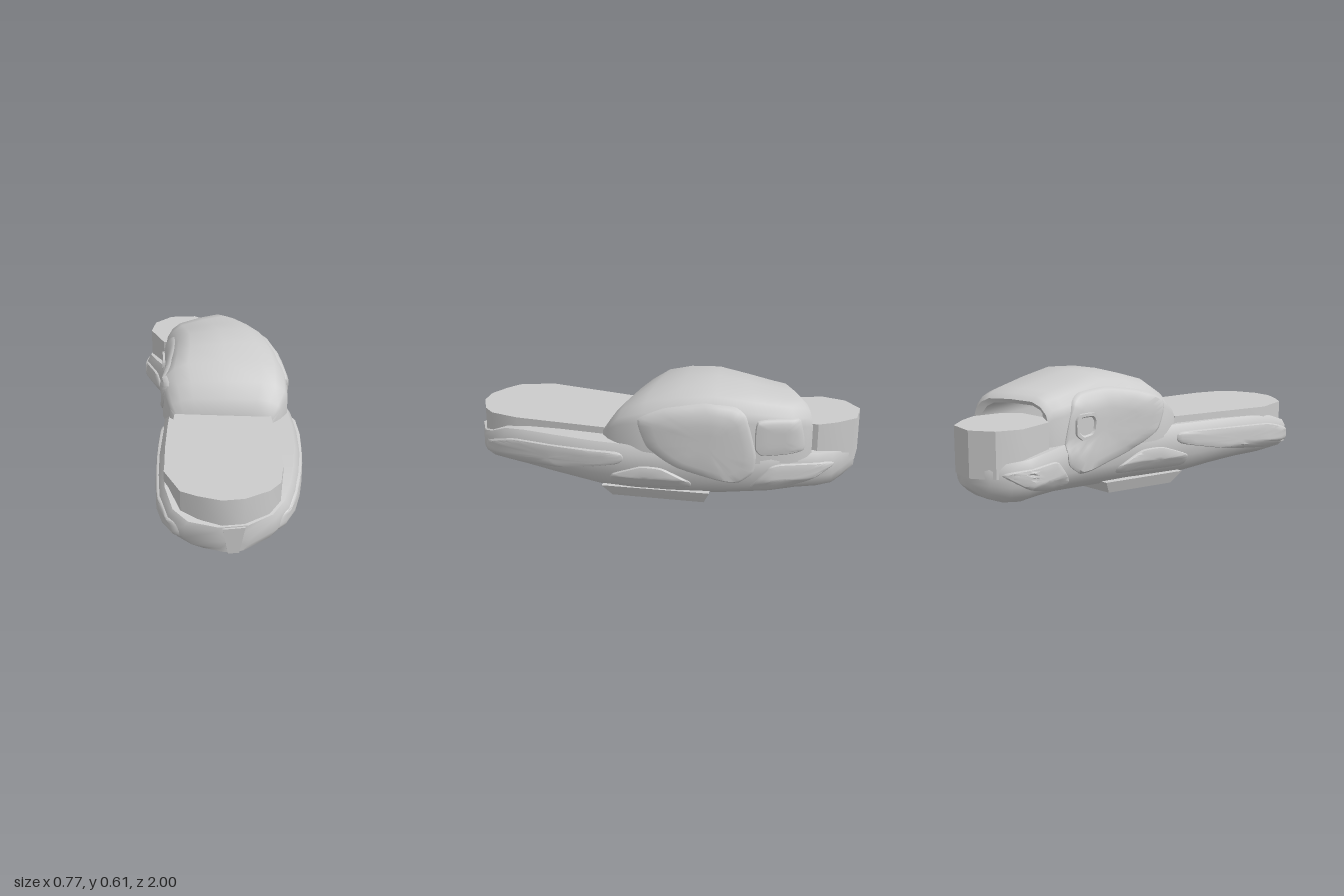
import * as THREE from 'three';
import { toCreasedNormals } from 'three/addons/utils/BufferGeometryUtils.js';

const grey = new THREE.MeshStandardMaterial({ color: 0xcccccc });

// Skin between rings of points [x, y, z], with a fan cap at both ends
function loft(rings, closed, crease) {
  const n = rings[0].length, pos = rings.flat(2), idx = [];
  const steps = closed ? n : n - 1;
  for (let i = 0; i < rings.length - 1; i++) {
    for (let j = 0; j < steps; j++) {
      const k = (j + 1) % n, a = i * n + j, b = i * n + k;
      idx.push(a, b, a + n, b, b + n, a + n);
    }
  }
  [0, rings.length - 1].forEach((r) => {
    const c = pos.length / 3;
    for (let d = 0; d < 3; d++) pos.push(rings[r].reduce((s, p) => s + p[d], 0) / n);
    for (let j = 0; j < n; j++) {
      const a = r * n + j, b = r * n + (j + 1) % n;
      idx.push(c, r ? a : b, r ? b : a);
    }
  });
  const geo = new THREE.BufferGeometry();
  geo.setAttribute('position', new THREE.Float32BufferAttribute(pos, 3));
  geo.setIndex(idx);
  return toCreasedNormals(geo, crease);
}

// Cross-section spanned between a left (xl, zl) and a right (xr, zr) point
function section([xl, zl, xr, zr, y0, y1], profile) {
  return profile.map(([u, v]) => {
    const t = (u + 1) / 2;
    return [xl + (xr - xl) * t, y0 + (y1 - y0) * v, zl + (zr - zl) * t];
  });
}

const mirrored = (half) => [...half, ...half.slice(0, -1).reverse().map(([u, v]) => [-u, v])];

// Upright block from a plan outline, with a separate outline for the top
const block = (low, y0, high, y1) =>
  loft([low.map(([x, z]) => [x, y0, z]), high.map(([x, z]) => [x, y1, z])], true, 0.6);

export function createModel() {
  const model = new THREE.Group();
  const add = (name, geo) => {
    const mesh = new THREE.Mesh(geo, grey);
    mesh.name = name;
    model.add(mesh);
    return mesh;
  };

  // Curved lower hull, rear to front
  const hullProfile = mirrored([[-0.92, 1], [-1, 0.85], [-1, 0.45], [-0.85, 0.2], [-0.6, 0.04], [0, 0]]);
  const hull = add('hull', loft([
    [-0.14, -0.99, 0.0, -0.985, 0.15, 0.26],
    [-0.22, -0.94, 0.06, -0.93, 0.1, 0.26],
    [-0.28, -0.86, 0.12, -0.89, 0.07, 0.27],
    [-0.305, -0.77, 0.17, -0.82, 0.06, 0.28],
    [-0.28, -0.66, 0.215, -0.72, 0.06, 0.29],
    [-0.235, -0.52, 0.265, -0.6, 0.05, 0.3],
    [-0.225, -0.3, 0.32, -0.35, 0.035, 0.31],
    [-0.245, -0.1, 0.355, -0.1, 0.03, 0.32],
    [-0.28, 0.05, 0.37, 0.08, 0.03, 0.32],
    [-0.31, 0.22, 0.36, 0.28, 0.03, 0.32],
    [-0.34, 0.42, 0.325, 0.5, 0.055, 0.32],
    [-0.36, 0.6, 0.285, 0.66, 0.07, 0.315],
    [-0.37, 0.75, 0.245, 0.78, 0.075, 0.3],
    [-0.345, 0.87, 0.2, 0.87, 0.08, 0.26],
    [-0.28, 0.94, 0.13, 0.935, 0.085, 0.235],
    [-0.14, 0.99, 0.0, 0.99, 0.09, 0.225],
  ].map((s) => section(s, hullProfile)), true, 0.8));

  // Cabin shell: starts at the inner wall, runs out to the rear frame, then forward over the roof
  const cabinProfile = mirrored([[1, 0], [1, 0.62], [0.95, 0.76], [0.8, 0.9], [0.58, 0.98], [0, 1]]);
  const cabin = add('cabin', loft([
    [-0.16, -0.3, 0.22, -0.35, 0.25, 0.51],
    [-0.175, -0.5, 0.16, -0.64, 0.25, 0.49],
    [-0.18, -0.6, 0.135, -0.765, 0.25, 0.49],
    [-0.2, -0.61, 0.165, -0.785, 0.25, 0.51],
    [-0.21, -0.58, 0.185, -0.765, 0.25, 0.535],
    [-0.215, -0.52, 0.23, -0.7, 0.25, 0.548],
    [-0.22, -0.4, 0.285, -0.52, 0.25, 0.58],
    [-0.225, -0.27, 0.325, -0.33, 0.25, 0.61],
    [-0.25, -0.13, 0.35, -0.15, 0.25, 0.598],
    [-0.285, -0.02, 0.355, 0.02, 0.26, 0.56],
    [-0.275, 0.06, 0.335, 0.15, 0.27, 0.5],
    [-0.26, 0.12, 0.29, 0.21, 0.28, 0.43],
    [-0.24, 0.15, 0.24, 0.25, 0.3, 0.36],
  ].map((s) => section(s, cabinProfile)), false, 0.8));

  // Flat decks in front of and behind the cabin
  const front = [[-0.345, 0.7], [-0.29, 0.88], [-0.22, 0.93], [-0.12, 0.98], [-0.02, 0.98],
    [0.1, 0.93], [0.16, 0.87], [0.2, 0.72], [0.235, 0.24], [-0.24, 0.15]];
  add('frontDeck', block(front, 0.2, front, 0.355));
  const rear = [[-0.22, -0.62], [-0.1, -0.57], [0.05, -0.59], [0.11, -0.66], [0.13, -0.81],
    [0.08, -0.9], [0, -0.99], [-0.14, -1], [-0.24, -0.92], [-0.275, -0.8]];
  add('rearDeck', block(rear, 0.2, rear, 0.42));

  // Nose spout and foot pad
  add('nose', block([[-0.095, 0.99], [-0.045, 0.99], [-0.03, 0.9], [-0.11, 0.9]], 0.085,
    [[-0.12, 1], [-0.02, 1], [-0.02, 0.9], [-0.12, 0.9]], 0.22));
  add('footPad', block([[-0.21, 0.15], [0.26, 0.2], [0.25, -0.27], [-0.16, -0.22]], 0,
    [[-0.24, 0.2], [0.29, 0.25], [0.27, -0.3], [-0.18, -0.25]], 0.06));

  // Raised side panels: outline [z, y] projected sideways onto the body
  const body = [hull, cabin];
  const ray = new THREE.Raycaster();
  const domed = [[1, -0.012], [0.98, 0.005], [0.93, 0.012], [0.75, 0.015], [0.5, 0.016], [0.25, 0.016], [0.04, 0.016]];
  const rimmed = [[1, -0.01], [0.95, 0.012], [0.75, 0.012], [0.65, 0.002], [0.1, 0.002]];
  function panel(name, side, outline, levels = domed) {
    const curve = new THREE.CatmullRomCurve3(
      outline.map(([z, y]) => new THREE.Vector3(0, y, z)), true, 'catmullrom', 0.25);
    const pts = curve.getPoints(48).slice(0, -1);
    if (THREE.ShapeUtils.area(pts.map((p) => new THREE.Vector2(-side * p.z, p.y))) < 0) pts.reverse();
    const mid = pts.reduce((s, p) => s.add(p), new THREE.Vector3()).divideScalar(pts.length);
    let x = side * 0.2;
    const rings = levels.map(([scale, lift]) => pts.map((p) => {
      const q = mid.clone().lerp(p, scale);
      ray.set(new THREE.Vector3(side * 2, q.y, q.z), new THREE.Vector3(-side, 0, 0));
      const hit = ray.intersectObjects(body, false)[0];
      if (hit && hit.point.x * side > 0) x = hit.point.x;
      return [x + side * lift, q.y, q.z];
    }));
    return add(name, loft(rings, true, 0.7));
  }

  const large = [[0.05, 0.46], [-0.08, 0.52], [-0.27, 0.55], [-0.42, 0.535], [-0.48, 0.49], [-0.53, 0.3],
    [-0.52, 0.2], [-0.45, 0.145], [-0.38, 0.15], [-0.15, 0.22], [0, 0.32]];
  const long = [[0.92, 0.14], [0.9, 0.21], [0.7, 0.27], [0.15, 0.285], [0.11, 0.25], [0.15, 0.22], [0.45, 0.16], [0.75, 0.125]];
  const low = [[0.19, 0.13], [0.17, 0.17], [0.03, 0.22], [-0.08, 0.215], [-0.21, 0.15], [-0.2, 0.105], [0.16, 0.1]];
  const back = [[-0.5, 0.12], [-0.59, 0.23], [-0.65, 0.245], [-0.86, 0.235], [-0.9, 0.215], [-0.78, 0.14], [-0.6, 0.09], [-0.52, 0.09]];
  const small = [[-0.53, 0.47], [-0.71, 0.475], [-0.735, 0.45], [-0.75, 0.31], [-0.56, 0.29], [-0.52, 0.33]];

  panel('rightRearWindow', 1, small);
  [['left', 1], ['right', -1]].forEach(([label, side]) => {
    panel(label + 'LongPanel', side, long);
    panel(label + 'LowPanel', side, low);
    panel(label + 'RearPanel', side, back);
    const window = panel(label + 'SideWindow', side, large);
    if (side < 0) body.push(window);
  });
  model.getObjectByName('rightRearWindow').name = 'leftRearWindow';

  // Small framed port on the inner side of the curve
  panel('port', -1, [[-0.37, 0.44], [-0.45, 0.44], [-0.475, 0.41], [-0.475, 0.34], [-0.44, 0.31], [-0.38, 0.32], [-0.355, 0.35], [-0.35, 0.41]], rimmed);

  return model;
}
